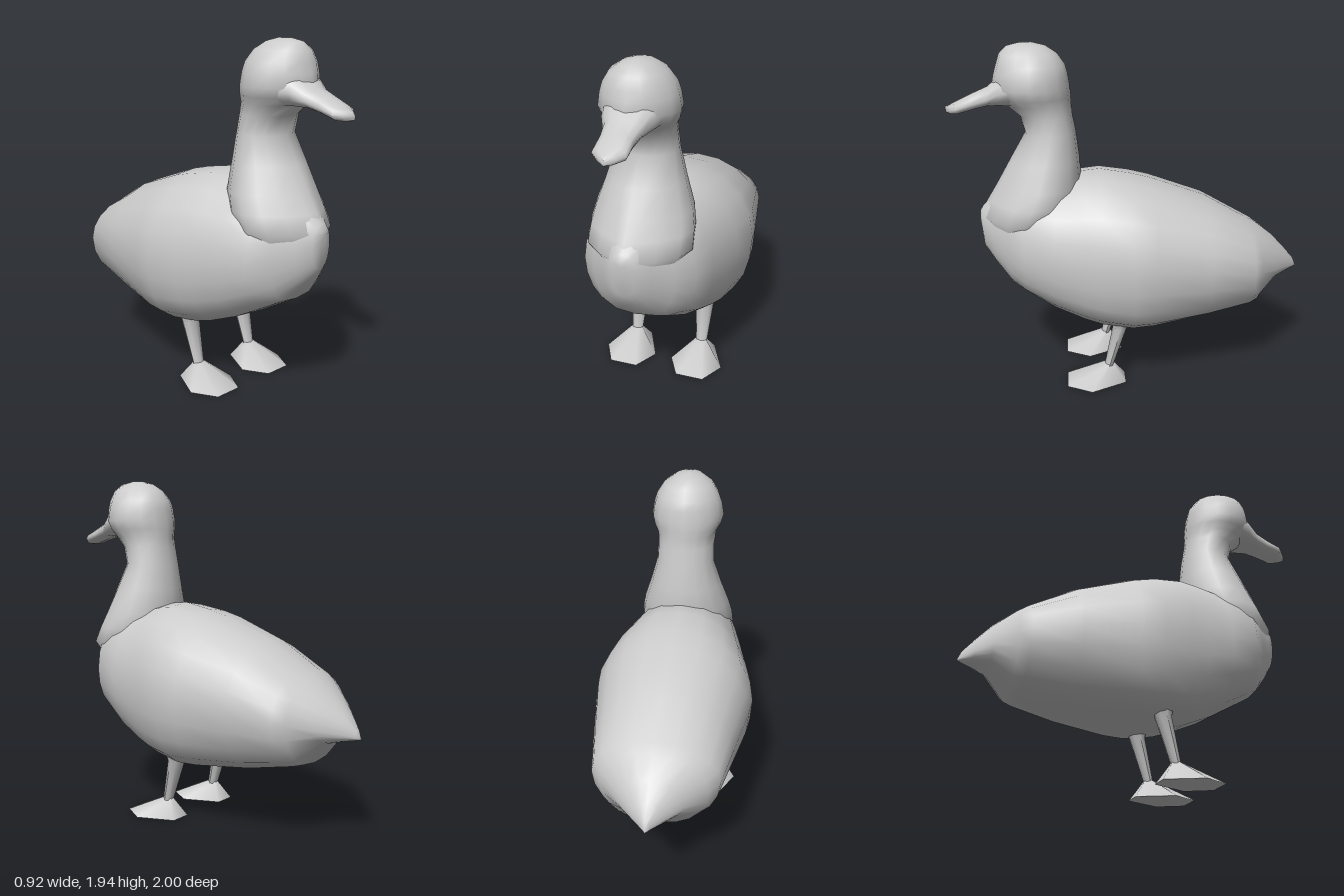
import * as THREE from 'three';
import { toCreasedNormals } from 'three/addons/utils/BufferGeometryUtils.js';

const material = new THREE.MeshStandardMaterial({ color: 0xcccccc, side: THREE.DoubleSide });

// Skin a list of rings (arrays of [x, y, z]) and close both ends with a fan.
function loft(rings, name, crease = 1.0) {
  const n = rings[0].length;
  const pos = rings.flat(2);
  const index = [];
  for (let r = 0; r < rings.length - 1; r++) {
    for (let i = 0; i < n; i++) {
      const a = r * n + i, b = r * n + (i + 1) % n;
      index.push(a, b, a + n, b, b + n, a + n);
    }
  }
  for (const r of [0, rings.length - 1]) {
    const c = pos.length / 3;
    for (let k = 0; k < 3; k++) pos.push(rings[r].reduce((s, p) => s + p[k], 0) / n);
    for (let i = 0; i < n; i++) {
      const a = r * n + i, b = r * n + (i + 1) % n;
      if (r === 0) index.push(c, b, a); else index.push(c, a, b);
    }
  }
  // Signed volume tells whether the faces point outwards
  const at = (i) => new THREE.Vector3().fromArray(pos, i * 3);
  let volume = 0;
  for (let i = 0; i < index.length; i += 3) {
    volume += at(index[i]).dot(at(index[i + 1]).cross(at(index[i + 2])));
  }
  if (volume < 0) index.reverse();
  const geo = new THREE.BufferGeometry();
  geo.setAttribute('position', new THREE.Float32BufferAttribute(pos, 3));
  geo.setIndex(index);
  const mesh = new THREE.Mesh(toCreasedNormals(geo, crease), material);
  mesh.name = name;
  return mesh;
}

const angles = (n) => Array.from({ length: n }, (_, i) => (i / n) * Math.PI * 2);

// Cosine raised to a power with its sign kept: below 1 is boxy, above 1 is pointed
function shapedCos(t, power) {
  const c = Math.cos(t);
  return Math.abs(c) < 1e-6 ? 0 : Math.sign(c) * Math.pow(Math.abs(c), power);
}

// Upright section at z, widest at height mid, with its own upper and lower fullness
function uprightRing([z, top, bottom, w, mid, lower = 0.7], n, upper) {
  return angles(n).map((t) => {
    const s = Math.sin(t);
    return [w * shapedCos(t, s >= 0 ? upper : lower), mid + s * (s >= 0 ? top - mid : mid - bottom), z];
  });
}

// Level section at height y from a back to a front z, the front narrowed by a power
function levelRing([y, back, front, w, narrow = 1], n, x = 0) {
  return angles(n).map((t) => {
    const s = Math.sin(t);
    return [x + w * shapedCos(t, s > 0 ? narrow : 1), y, (back + front) / 2 + (front - back) / 2 * s];
  });
}

export function createModel() {
  const duck = new THREE.Group();
  duck.name = 'duck';

  // Body from breast to pointed tail: z, top, bottom, half width, widest height, lower fullness
  const body = [
    [0.848, 1.0, 0.94, 0.025, 0.97, 0.8],
    [0.83, 1.03, 0.79, 0.07, 0.92, 0.8],
    [0.77, 1.09, 0.70, 0.13, 0.88, 0.75],
    [0.68, 1.13, 0.59, 0.225, 0.85, 0.65],
    [0.60, 1.16, 0.545, 0.31, 0.83, 0.6],
    [0.43, 1.185, 0.45, 0.357, 0.80, 0.5],
    [0.27, 1.22, 0.385, 0.395, 0.78, 0.46],
    [0.17, 1.23, 0.355, 0.42, 0.775, 0.45],
    [0.00, 1.20, 0.335, 0.46, 0.77, 0.45],
    [-0.12, 1.17, 0.338, 0.447, 0.76, 0.47],
    [-0.43, 1.06, 0.365, 0.39, 0.73, 0.65],
    [-0.68, 0.915, 0.415, 0.343, 0.695, 0.8],
    [-0.73, 0.89, 0.43, 0.29, 0.68, 0.8],
    [-0.84, 0.805, 0.56, 0.175, 0.65, 0.8],
    [-0.92, 0.72, 0.58, 0.09, 0.63, 0.8],
    [-0.98, 0.65, 0.592, 0.022, 0.61, 0.8],
    [-1.00, 0.602, 0.598, 0.002, 0.60, 0.8],
  ];
  duck.add(loft(body.map((s) => uprightRing(s, 20, 0.95)), 'body'));

  // Neck and head: y, back z, front z, half width, front narrowing
  const neckAndHead = [
    [0.80, 0.42, 0.74, 0.15, 1.8],
    [0.98, 0.33, 0.848, 0.285, 1.9],
    [1.07, 0.29, 0.80, 0.28, 1.8],
    [1.16, 0.268, 0.745, 0.26, 1.6],
    [1.30, 0.28, 0.665, 0.212, 1.3],
    [1.45, 0.297, 0.578, 0.168],
    [1.55, 0.315, 0.605, 0.165],
    [1.61, 0.32, 0.68, 0.172, 1.3],
    [1.65, 0.32, 0.73, 0.196, 1.5],
    [1.70, 0.325, 0.75, 0.21, 1.4],
    [1.77, 0.335, 0.735, 0.198, 1.2],
    [1.82, 0.348, 0.72, 0.18],
    [1.88, 0.39, 0.70, 0.14],
    [1.92, 0.45, 0.66, 0.08],
    [1.937, 0.52, 0.59, 0.025],
  ];
  duck.add(loft(neckAndHead.map((s) => levelRing(s, 16)), 'neckAndHead', 1.2));

  // Beak: wide at the face, flattened towards a blunt point
  const beak = [
    [0.58, 1.81, 1.60, 0.18, 1.71],
    [0.70, 1.765, 1.605, 0.135, 1.68],
    [0.77, 1.705, 1.605, 0.10, 1.645],
    [0.85, 1.67, 1.585, 0.087, 1.62],
    [0.93, 1.632, 1.562, 0.087, 1.595],
    [0.97, 1.612, 1.56, 0.045, 1.585],
    [1.00, 1.598, 1.568, 0.006, 1.582],
  ];
  duck.add(loft(beak.map((s) => uprightRing(s, 12, 0.8)), 'beak'));

  // Legs slope back to front; each ends in a six-sided webbed foot
  const footPlan = [[-0.06, 0.04], [0.06, 0.04], [0.155, 0.24], [0.08, 0.38], [-0.08, 0.38], [-0.155, 0.24]];
  for (const [side, label] of [[1, 'left'], [-1, 'right']]) {
    const x = 0.205 * side;
    const leg = [
      [0.46, -0.03, 0.15, 0.095],
      [0.39, 0.005, 0.125, 0.072],
      [0.34, 0.025, 0.113, 0.056],
      [0.09, 0.11, 0.162, 0.034],
    ];
    duck.add(loft(leg.map((s) => levelRing(s, 8, x)), label + 'Leg'));

    const ankle = footPlan.map(([px, pz]) => [x + px * 0.22, 0.105, 0.105 + pz * 0.15]);
    const sole = footPlan.map(([px, pz]) => [x + px, 0, pz]);
    duck.add(loft([sole, ankle], label + 'Foot', 1.3));
  }
  return duck;
}
